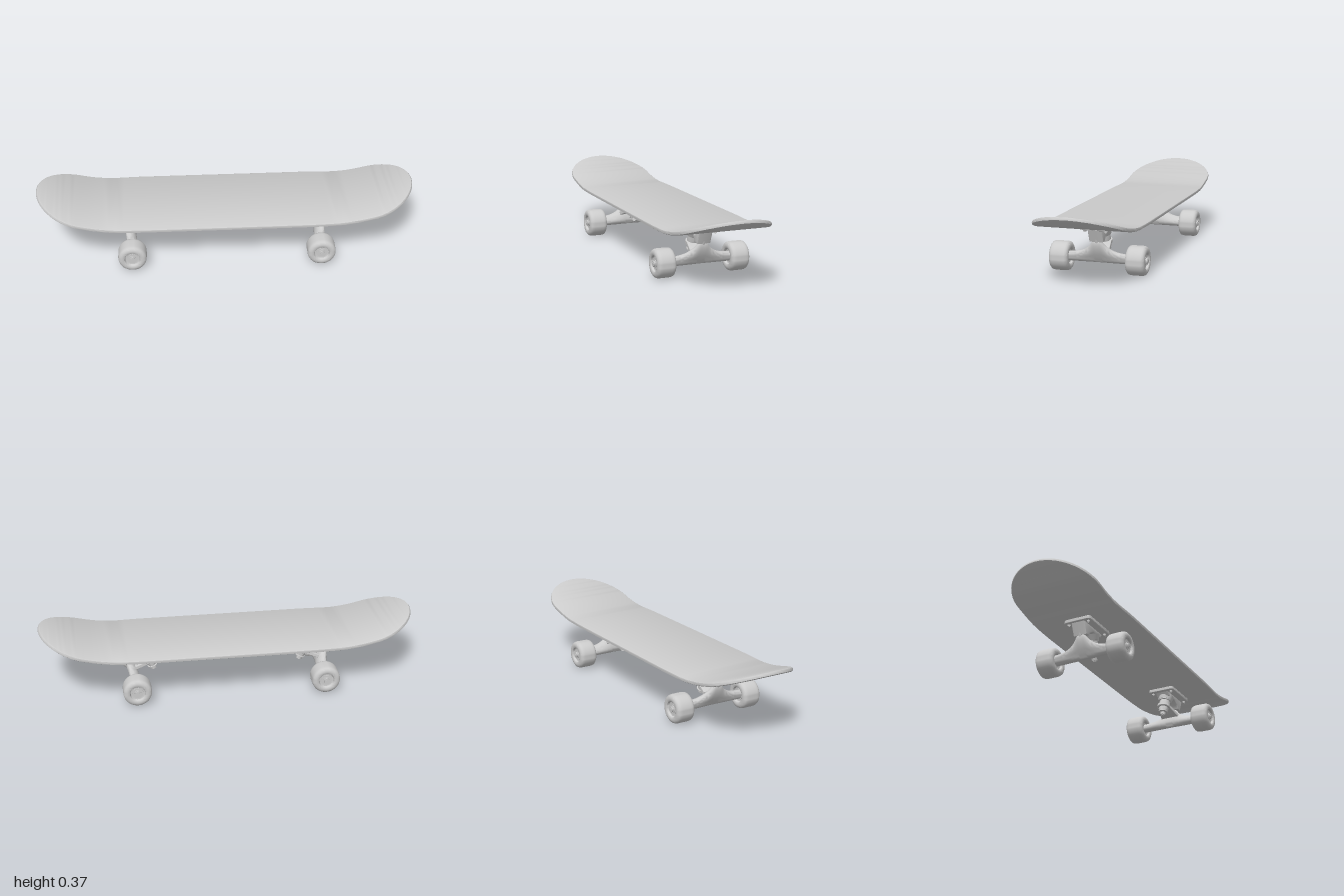
import * as THREE from 'three';
import { toCreasedNormals } from 'three/addons/utils/BufferGeometryUtils.js';

const material = new THREE.MeshStandardMaterial({ color: 0xcccccc });

function add(parent, name, geometry, x = 0, y = 0, z = 0) {
  const mesh = new THREE.Mesh(geometry, material);
  mesh.name = name;
  mesh.position.set(x, y, z);
  parent.add(mesh);
  return mesh;
}

// Skin a list of closed loops, each clockwise as seen from the far end
function loft(loops, crease) {
  const n = loops[0].length;
  const index = [];
  for (let j = 0; j < loops.length - 1; j++) {
    for (let k = 0; k < n; k++) {
      const a = j * n + k, b = j * n + (k + 1) % n;
      index.push(a, a + n, b, b, a + n, b + n);
    }
  }
  const geometry = new THREE.BufferGeometry();
  geometry.setAttribute('position', new THREE.Float32BufferAttribute(loops.flat(2), 3));
  geometry.setIndex(index);
  return toCreasedNormals(geometry, crease);
}

function lathe(points, segments = 40, crease = 0.6) {
  const geometry = new THREE.LatheGeometry(points.map(p => new THREE.Vector2(...p)), segments);
  return toCreasedNormals(geometry, crease);
}

// Flat outline extruded symmetrically about its own plane
function slab(points, depth, bevel) {
  const shape = new THREE.Shape(points.map(p => new THREE.Vector2(...p)));
  const geometry = new THREE.ExtrudeGeometry(shape, {
    depth: depth - 2 * bevel, bevelEnabled: true, bevelThickness: bevel,
    bevelSize: bevel, bevelOffset: -bevel, bevelSegments: 3,
  });
  geometry.translate(0, 0, bevel - depth / 2);
  return toCreasedNormals(geometry, 0.6);
}

// Deck: rounded outline, rounded rim, both ends swept upward
function deckGeometry() {
  const straight = 0.77, flat = 0.57, rise = 0.112, span = 0.43, power = 1.8;
  const rim = [[-0.008, -0.0105], [-0.002, -0.007], [0, 0], [-0.002, 0.007], [-0.008, 0.0105]];
  const half = [];
  for (let i = 0; i <= 20; i++) {
    const a = i / 20 * Math.PI / 2;
    half.push([straight + 0.224 * Math.cos(a), 0.235 * Math.sin(a), Math.cos(a), Math.sin(a)]);
  }
  for (let i = 1; i <= 20; i++) {
    const x = straight * (1 - i / 20);
    half.push([x, 0.247 - 0.012 * THREE.MathUtils.smoothstep(x, 0.42, straight), 0, 1]);
  }
  const mirrored = half.map(([x, z, nx, nz]) => [-x, z, -nx, nz]);
  const stations = [...mirrored, ...half.slice(0, -1).reverse()];

  const loops = stations.map(([x, z, nx, nz]) => {
    const side = rim.map(([d, v]) => {
      const px = x + d * nx;
      const t = Math.max(0, (Math.abs(px) - flat) / span);
      const angle = Math.atan(Math.sign(px) * rise * power / span * Math.pow(t, power - 1));
      return [
        px - v * Math.sin(angle),
        0.257 + rise * Math.pow(t, power) + v * Math.cos(angle),
        z + d * nz,
      ];
    });
    // Keep the two rims from crossing at the tips
    side.forEach(p => { p[2] = Math.max(0, p[2]); });
    return [...side, ...side.map(([px, py, pz]) => [px, py, -pz]).reverse()];
  });
  return loft(loops, 0.65);
}

// Hanger: axle tube flaring up to the pivot, leaning outward
function hangerGeometry() {
  const loops = [];
  for (let i = 0; i <= 40; i++) {
    const z = -0.17 + 0.34 * i / 40;
    const top = 0.1 + 0.074 * Math.exp(-Math.max(0, Math.abs(z) - 0.02) / 0.042);
    const mid = (top + 0.052) / 2, ry = (top - 0.052) / 2;
    loops.push(Array.from({ length: 24 }, (_, k) => {
      const a = -k / 24 * Math.PI * 2;
      const y = mid + ry * Math.sin(a);
      return [0.025 * Math.cos(a) + 0.42 * Math.max(0, y - 0.075), y, z];
    }));
  }
  return loft(loops, 0.8);
}

function createWheel() {
  const wheel = new THREE.Group();
  wheel.name = 'wheel';
  const face = [[0.028, 0.036], [0.037, 0.037], [0.041, 0.047], [0.046, 0.05],
    [0.056, 0.05], [0.064, 0.0475], [0.071, 0.042], [0.074, 0.034], [0.075, 0.024]];
  const tyre = [...face.map(([r, y]) => [r, -y]), ...face.slice().reverse()];
  add(wheel, 'tyre', lathe(tyre, 48));
  for (const s of [-1, 1]) {
    add(wheel, 'bearing', new THREE.CylinderGeometry(0.029, 0.029, 0.006, 32), 0, s * 0.036, 0);
    add(wheel, 'bearingCollar', new THREE.CylinderGeometry(0.019, 0.019, 0.004, 24), 0, s * 0.041, 0);
  }
  add(wheel, 'axleNut', new THREE.CylinderGeometry(0.016, 0.016, 0.012, 6), 0, 0.046, 0);
  wheel.rotation.x = Math.PI / 2;
  return wheel;
}

// Truck with its pivot toward +x and its kingpin toward -x
function createTruck() {
  const truck = new THREE.Group();
  truck.name = 'truck';

  // Baseplate with rounded corners, four bolts and the pivot housing
  const plate = new THREE.Shape();
  const x0 = -0.13, x1 = 0.09, w = 0.075, r = 0.016;
  plate.absarc(x1 - r, w - r, r, 0, Math.PI / 2);
  plate.absarc(x0 + r, w - r, r, Math.PI / 2, Math.PI);
  plate.absarc(x0 + r, r - w, r, Math.PI, Math.PI * 1.5);
  plate.absarc(x1 - r, r - w, r, Math.PI * 1.5, Math.PI * 2);
  add(truck, 'baseplate', slab(plate.getPoints(6).slice(0, -1).map(p => [p.x, p.y]), 0.019, 0.004), 0, 0.2385, 0)
    .rotation.x = -Math.PI / 2;
  for (const x of [-0.105, 0.066]) {
    for (const z of [-0.055, 0.055]) {
      add(truck, 'mountingNut', new THREE.CylinderGeometry(0.009, 0.009, 0.01, 6), x, 0.2255, z);
      add(truck, 'mountingBolt', new THREE.CylinderGeometry(0.004, 0.004, 0.006, 12), x, 0.2195, z);
    }
  }
  const housing = [[-0.115, 0.236], [-0.095, 0.208], [-0.02, 0.208], [0.012, 0.188],
    [0.022, 0.17], [0.052, 0.166], [0.08, 0.236]];
  add(truck, 'pivotHousing', slab(housing.reverse(), 0.074, 0.005));
  add(truck, 'pivot', new THREE.CylinderGeometry(0.016, 0.019, 0.05, 20), 0.035, 0.165, 0)
    .rotation.z = -0.35;

  // Hanger and axle
  add(truck, 'hanger', hangerGeometry());
  add(truck, 'axle', new THREE.CylinderGeometry(0.008, 0.008, 0.508, 16), 0, 0.075, 0)
    .rotation.x = Math.PI / 2;

  // Kingpin stack: boss, bushings, washers, nut and the hanger's ring
  const kingpin = new THREE.Group();
  kingpin.name = 'kingpin';
  kingpin.position.set(-0.105, 0.085, 0);
  kingpin.rotation.z = -0.33;
  truck.add(kingpin);
  add(kingpin, 'kingpinBolt', new THREE.CylinderGeometry(0.008, 0.008, 0.14, 16), 0, 0.07, 0);
  add(kingpin, 'kingpinNut', new THREE.CylinderGeometry(0.016, 0.016, 0.018, 6), 0, 0.013, 0);
  add(kingpin, 'lowerBushing', lathe([[0, 0.022], [0.027, 0.022], [0.027, 0.026], [0.021, 0.027],
    [0.028, 0.05], [0.028, 0.058], [0, 0.058]], 32));
  add(kingpin, 'upperBushing', lathe([[0, 0.07], [0.03, 0.07], [0.031, 0.082], [0.029, 0.102],
    [0.034, 0.103], [0.034, 0.108], [0, 0.108]], 32));
  add(kingpin, 'kingpinBoss', new THREE.CylinderGeometry(0.045, 0.036, 0.03, 32), 0, 0.122, 0);
  add(kingpin, 'hangerRing', lathe([[0, 0.053], [0.034, 0.053], [0.038, 0.056], [0.038, 0.071],
    [0.034, 0.074], [0, 0.074]], 32));
  add(kingpin, 'hangerArm', slab([[0, -0.036], [0.085, -0.052], [0.085, 0.052], [0, 0.036]], 0.02, 0.004), 0, 0.0635, 0)
    .rotation.x = -Math.PI / 2;

  // Wheels on both sides
  for (const s of [-1, 1]) {
    const mount = new THREE.Group();
    mount.name = s > 0 ? 'wheelMountA' : 'wheelMountB';
    mount.position.set(0, 0.075, s * 0.2);
    mount.rotation.y = s > 0 ? 0 : Math.PI;
    mount.add(createWheel());
    truck.add(mount);
  }
  return truck;
}

export function createModel() {
  const model = new THREE.Group();
  model.name = 'skateboard';
  add(model, 'deck', deckGeometry());
  for (const s of [-1, 1]) {
    const truck = createTruck();
    truck.name = s > 0 ? 'leftTruck' : 'rightTruck';
    truck.position.x = s * 0.5;
    truck.rotation.y = s > 0 ? 0 : Math.PI;
    model.add(truck);
  }
  return model;
}
